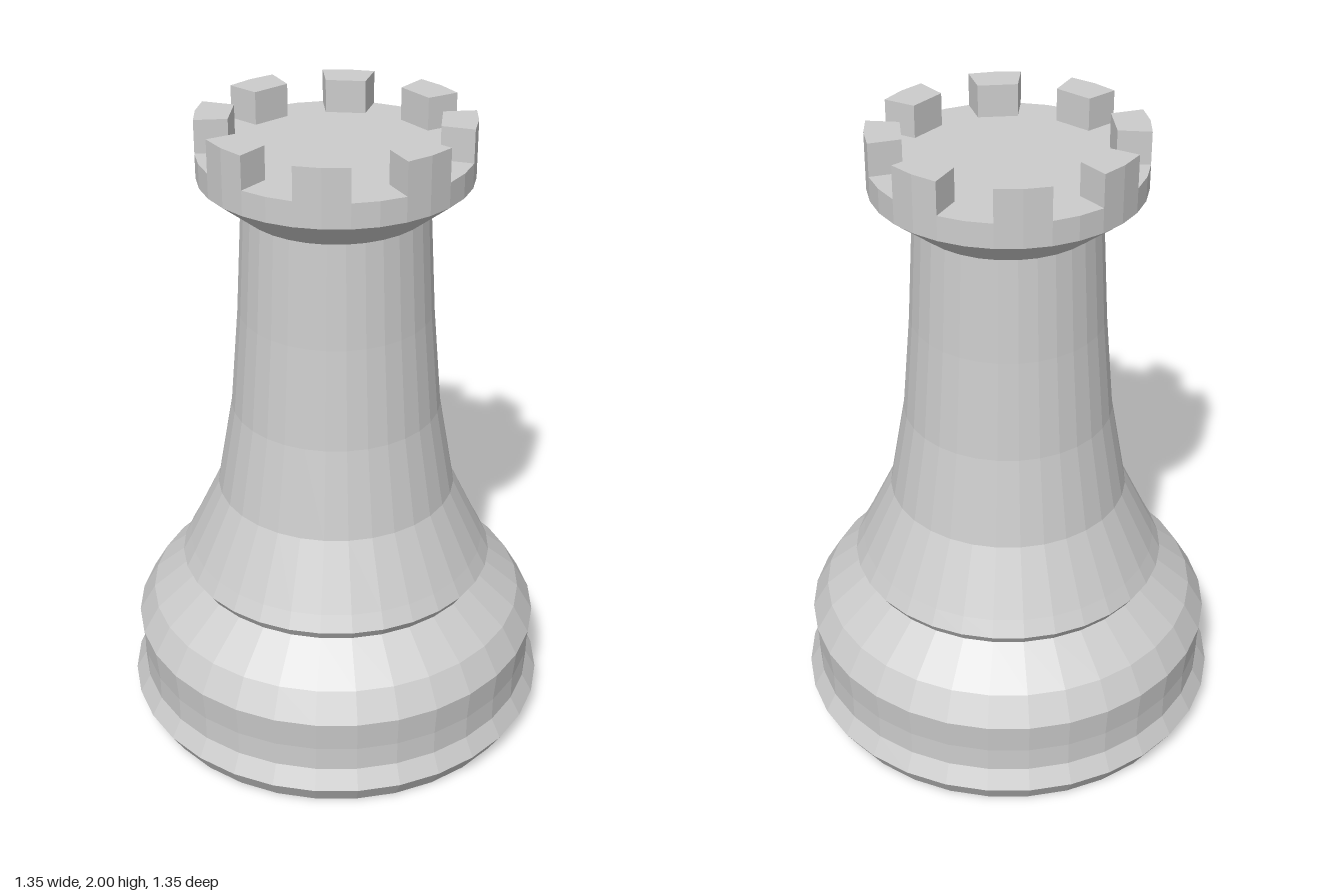
import * as THREE from 'three';

const SIDES = 32;
const STEP = (Math.PI * 2) / SIDES;
const OUTER = 0.405;   // rim radius
const INNER = 0.307;   // inner radius of the battlements
const FLOOR = 1.9;     // height of the tower floor
const TOP = 2;

const material = new THREE.MeshStandardMaterial({ color: 0xcccccc, flatShading: true });

function turned(name, profile) {
  const points = profile.map(([r, y]) => new THREE.Vector2(r, y));
  const mesh = new THREE.Mesh(new THREE.LatheGeometry(points, SIDES), material);
  mesh.name = name;
  return mesh;
}

// One battlement block: two rim facets wide, with radial sides
function battlementGeometry() {
  const at = (r, a) => new THREE.Vector2(r * Math.cos(a), r * Math.sin(a));
  const shape = new THREE.Shape([
    at(INNER, -STEP), at(OUTER, -STEP), at(OUTER, 0), at(OUTER, STEP), at(INNER, STEP),
  ]);
  const geometry = new THREE.ExtrudeGeometry(shape, { depth: TOP - FLOOR, bevelEnabled: false });
  return geometry.rotateX(-Math.PI / 2).translate(0, FLOOR, 0);
}

export function createModel() {
  const rook = new THREE.Group();
  rook.name = 'rook';

  // Foot with flared lip, waist and shoulder
  rook.add(turned('base', [
    [0, 0], [0.635, 0], [0.677, 0.07], [0.643, 0.13], [0.643, 0.21],
    [0.652, 0.31], [0.6, 0.4], [0.475, 0.505],
  ]));

  // Collar ring and tapering column
  rook.add(turned('column', [
    [0.475, 0.505], [0.498, 0.54], [0.472, 0.59], [0.375, 0.795],
    [0.325, 1.08], [0.298, 1.4], [0.28, 1.725],
  ]));

  // Flared head, rim and flat floor
  rook.add(turned('head', [
    [0.28, 1.725], [OUTER, 1.825], [OUTER, FLOOR], [0, FLOOR],
  ]));

  // Ring of eight battlements
  const battlements = new THREE.Group();
  battlements.name = 'battlements';
  const geometry = battlementGeometry();
  for (let i = 0; i < 8; i++) {
    const block = new THREE.Mesh(geometry, material);
    block.name = 'battlement';
    block.rotation.y = (i * Math.PI) / 4;
    battlements.add(block);
  }
  rook.add(battlements);

  return rook;
}
